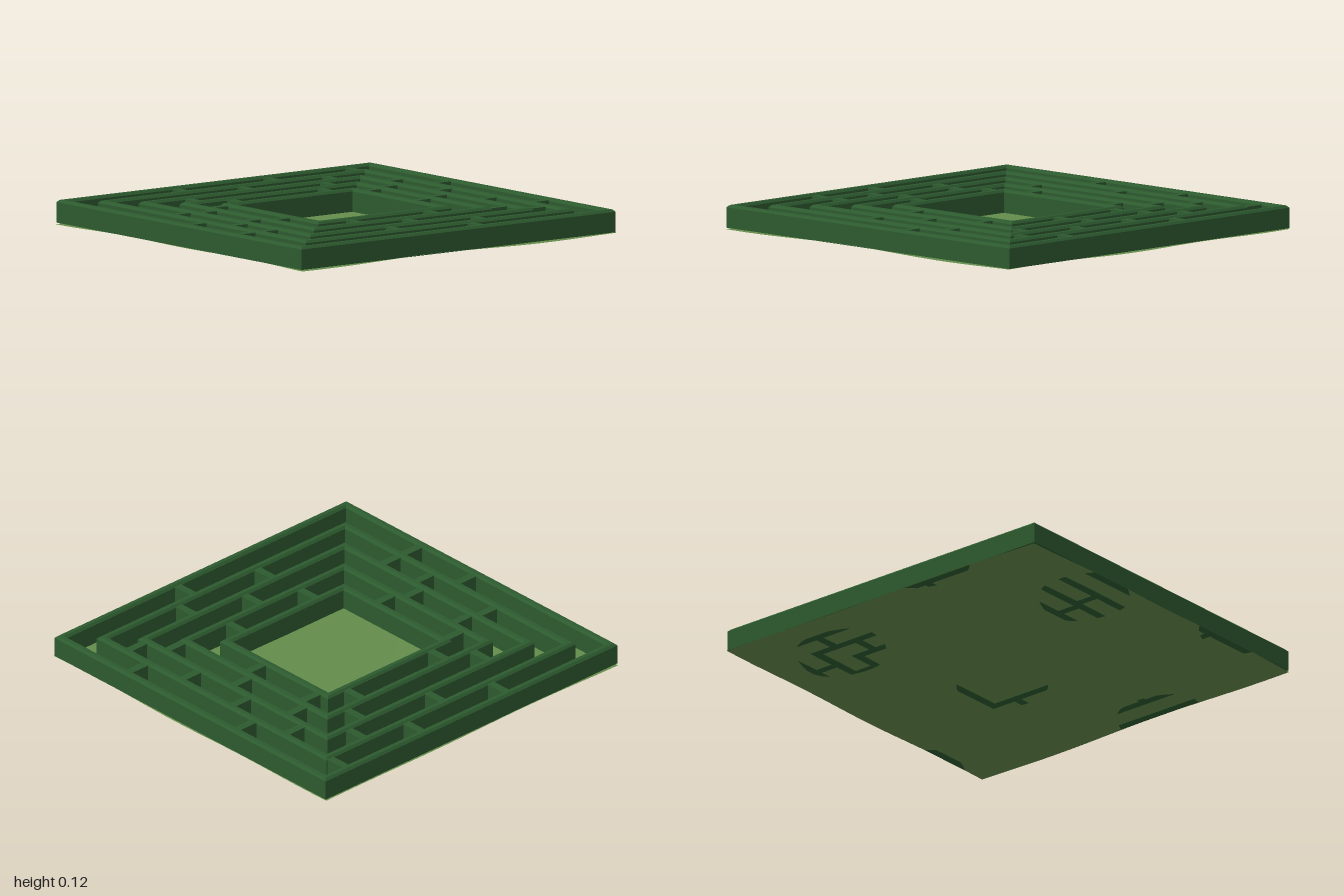
import * as THREE from 'three';

const hedgeMaterial = new THREE.MeshStandardMaterial({ color: 0x2d5a2f, flatShading: true });
const lawnMaterial = new THREE.MeshStandardMaterial({ color: 0x648c4c, side: THREE.DoubleSide });

const BASE = 0.01, TOP = 0.125, THICK = 0.045, BEVEL = 0.012;

// Half width (x) and half depth (z) of the nested square hedges, outermost first
const RINGS = [[1, 0.99], [0.853, 0.84], [0.71, 0.693], [0.567, 0.543], [0.425, 0.395]];

// Positions of the cross hedges along each corridor, outermost corridor first
const CROSS = {
  back: [[-0.275, 0.305, 0.825], [0.02, 0.56], [-0.43, 0.43], [-0.28, 0.295]],
  front: [[0.195], [-0.21, 0.33], [0.015], [-0.225, 0.265]],
  right: [[0.015, 0.41], [-0.295, 0.165, 0.41], [-0.265, 0.09], [-0.355, 0.145]],
  left: [[-0.305, 0.485], [-0.505, -0.115, 0.25, 0.645], [-0.37, 0.03, 0.515], [-0.32, 0.08]],
};

// Closed square hedge: a bevelled cross-section carried round four mitred corners
function ringGeometry(hx, hz) {
  const section = [
    [0, BASE], [0, TOP - BEVEL], [BEVEL, TOP],
    [THICK - BEVEL, TOP], [THICK, TOP - BEVEL], [THICK, BASE],
  ];
  const corners = [[1, 1], [1, -1], [-1, -1], [-1, 1]];
  const positions = [], index = [];
  for (const [sx, sz] of corners)
    for (const [inset, y] of section) positions.push(sx * (hx - inset), y, sz * (hz - inset));
  const n = section.length;
  for (let c = 0; c < 4; c++) {
    for (let i = 0; i < n; i++) {
      const j = (i + 1) % n, d = ((c + 1) % 4) * n;
      const a = c * n + i, b = c * n + j;
      index.push(a, d + i, b, b, d + i, d + j);
    }
  }
  const geometry = new THREE.BufferGeometry();
  geometry.setAttribute('position', new THREE.Float32BufferAttribute(positions, 3));
  geometry.setIndex(index);
  const flat = geometry.toNonIndexed();
  flat.computeVertexNormals();
  return flat;
}

// Gently uneven lawn under the whole maze
function lawnGeometry() {
  const geometry = new THREE.PlaneGeometry(2, 1.99, 40, 40).rotateX(-Math.PI / 2);
  const p = geometry.attributes.position;
  for (let i = 0; i < p.count; i++) {
    const x = p.getX(i), z = p.getZ(i);
    const wave = Math.sin(x * 5.1 + z * 2.3) + Math.sin(z * 6.2 - x * 3.4 + 1);
    p.setY(i, 0.007 + 0.0033 * wave);
  }
  geometry.computeVertexNormals();
  return geometry;
}

function addMesh(parent, name, geometry, material) {
  const mesh = new THREE.Mesh(geometry, material);
  mesh.name = name;
  parent.add(mesh);
  return mesh;
}

export function createModel() {
  const model = new THREE.Group();
  model.name = 'hedgeMaze';

  addMesh(model, 'lawn', lawnGeometry(), lawnMaterial);

  // Nested square hedges
  RINGS.forEach(([hx, hz], i) => addMesh(model, `ringHedge${i + 1}`, ringGeometry(hx, hz), hedgeMaterial));

  // Short hedges that block the corridors between neighbouring rings
  const crossHedges = new THREE.Group();
  crossHedges.name = 'crossHedges';
  model.add(crossHedges);
  const height = TOP - BASE - 0.008;
  for (const [side, corridors] of Object.entries(CROSS)) {
    const acrossZ = side === 'back' || side === 'front';
    const sign = side === 'front' || side === 'left' ? 1 : -1;
    const axis = acrossZ ? 1 : 0;
    corridors.forEach((places, i) => {
      const outer = RINGS[i][axis] - THICK / 2, inner = RINGS[i + 1][axis] - THICK / 2;
      const span = outer - inner, middle = sign * (outer + inner) / 2;
      for (const place of places) {
        const box = new THREE.BoxGeometry(acrossZ ? 0.043 : span, height, acrossZ ? span : 0.043);
        const hedge = addMesh(crossHedges, `${side}CrossHedge`, box, hedgeMaterial);
        hedge.position.set(acrossZ ? place : middle, BASE + height / 2, acrossZ ? middle : place);
      }
    });
  }
  return model;
}
